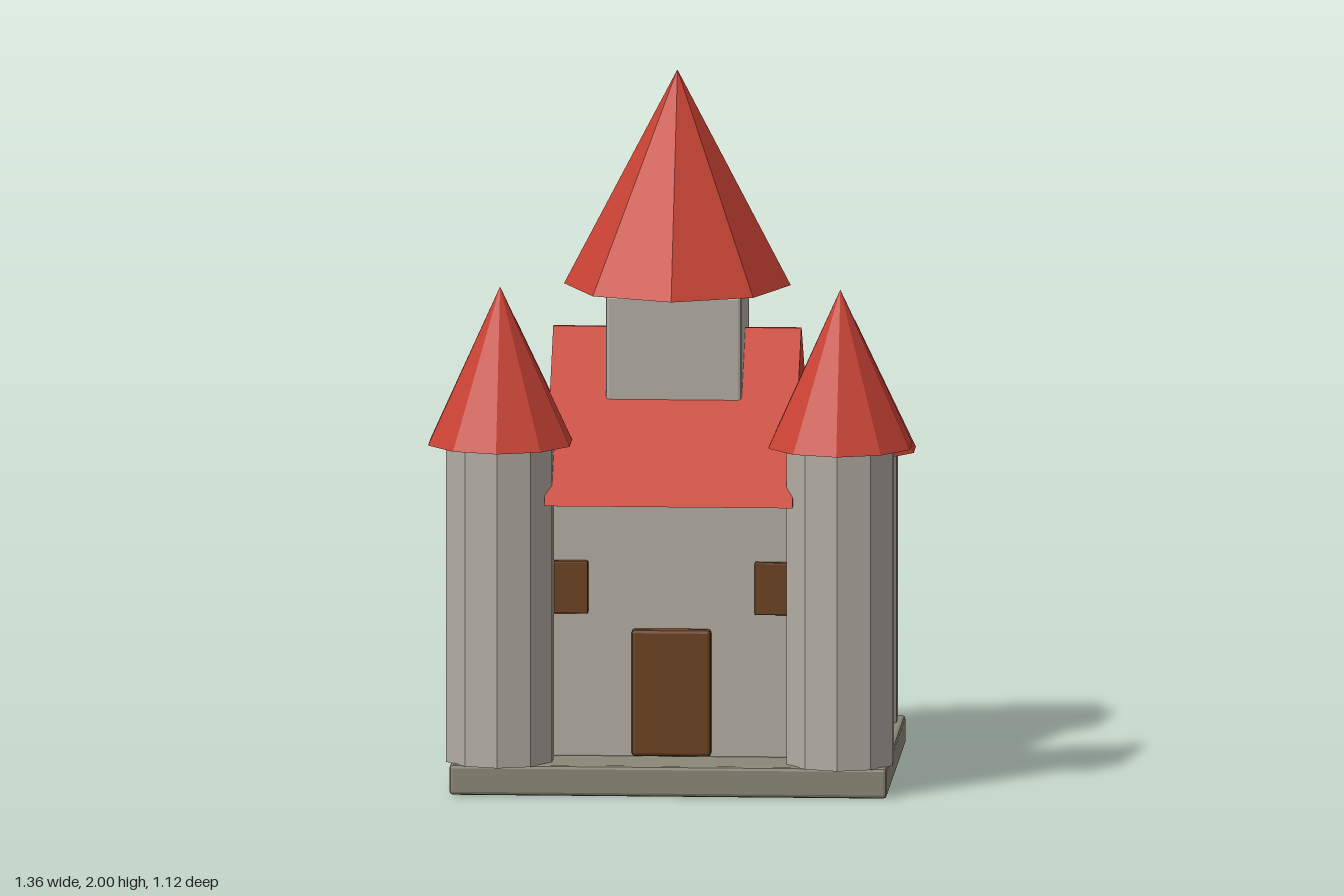
import * as THREE from 'three';
import { RoundedBoxGeometry } from 'three/addons/geometries/RoundedBoxGeometry.js';

const colour = (name, color) => {
  const m = new THREE.MeshStandardMaterial({ color });
  m.name = name;
  return m;
};

// faceted normals for the low-poly look
function faceted(geometry) {
  const g = geometry.index ? geometry.toNonIndexed() : geometry;
  g.computeVertexNormals();
  return g;
}

export function createModel() {
  const group = new THREE.Group();
  const stone = colour('wall stone', 0xb2aca2);
  const plinthStone = colour('plinth stone', 0x8a8677);
  const red = colour('roof red', 0xc94234);
  const wood = colour('brown wood', 0x6b4321);
  const midZ = -0.015;

  const add = (name, geometry, material, x, y, z) => {
    const mesh = new THREE.Mesh(faceted(geometry), material);
    mesh.name = name;
    mesh.position.set(x, y, z);
    group.add(mesh);
    return mesh;
  };

  // chamfered box given by its extents
  const block = (name, material, [x0, x1], [y0, y1], [z0, z1], bevel = 0.01) =>
    add(name, new RoundedBoxGeometry(x1 - x0, y1 - y0, z1 - z0, 1, bevel), material,
      (x0 + x1) / 2, (y0 + y1) / 2, (z0 + z1) / 2);

  // pointed roof standing on y0
  const spire = (name, r, y0, y1, sides, x, z) =>
    add(name, new THREE.ConeGeometry(r, y1 - y0, sides), red, x, (y0 + y1) / 2, z);

  // plinth, hall and keep
  block('plinth', plinthStone, [-0.617, 0.617], [0, 0.087], [-0.49, 0.46]);
  block('hall', stone, [-0.415, 0.415], [0.08, 0.825], [-0.305, 0.28]);
  block('keep', stone, [-0.192, 0.192], [0.9, 1.385], [midZ - 0.192, midZ + 0.192]);
  spire('keepRoof', 0.32, 1.387, 2, 8, 0, midZ);

  // gabled hall roof: triangle in the z-y plane, extruded along x
  const gable = new THREE.Shape([
    new THREE.Vector2(-0.465, 0), new THREE.Vector2(0.465, 0),
    new THREE.Vector2(0.007, 0.44), new THREE.Vector2(-0.007, 0.44),
  ]);
  const roof = new THREE.ExtrudeGeometry(gable, { depth: 0.7, bevelEnabled: false });
  roof.translate(0, 0, -0.35).rotateY(Math.PI / 2);
  add('hallRoof', roof, red, 0, 0.826, midZ);

  // door
  block('door', wood, [-0.112, 0.112], [0.09, 0.452], [0.265, 0.305]);

  // windows and corner towers, mirrored left and right
  for (const side of [1, -1]) {
    const label = side > 0 ? 'left' : 'right';
    const cx = side * 0.295;
    block(label + 'Window', wood, [cx - 0.06, cx + 0.06], [0.495, 0.645], [0.265, 0.298], 0.004);

    for (const [end, z, r, top, roofR, tip] of [
      ['Front', 0.348, 0.157, 0.99, 0.21, 1.435],
      ['Back', -0.385, 0.126, 0.86, 0.178, 1.23],
    ]) {
      const h = top - 0.085;
      add(label + end + 'Tower', new THREE.CylinderGeometry(r, r, h, 10), stone,
        side * 0.48, 0.085 + h / 2, z);
      spire(label + end + 'TowerRoof', roofR, top, tip, 10, side * 0.48, z);
    }
  }
  return group;
}
